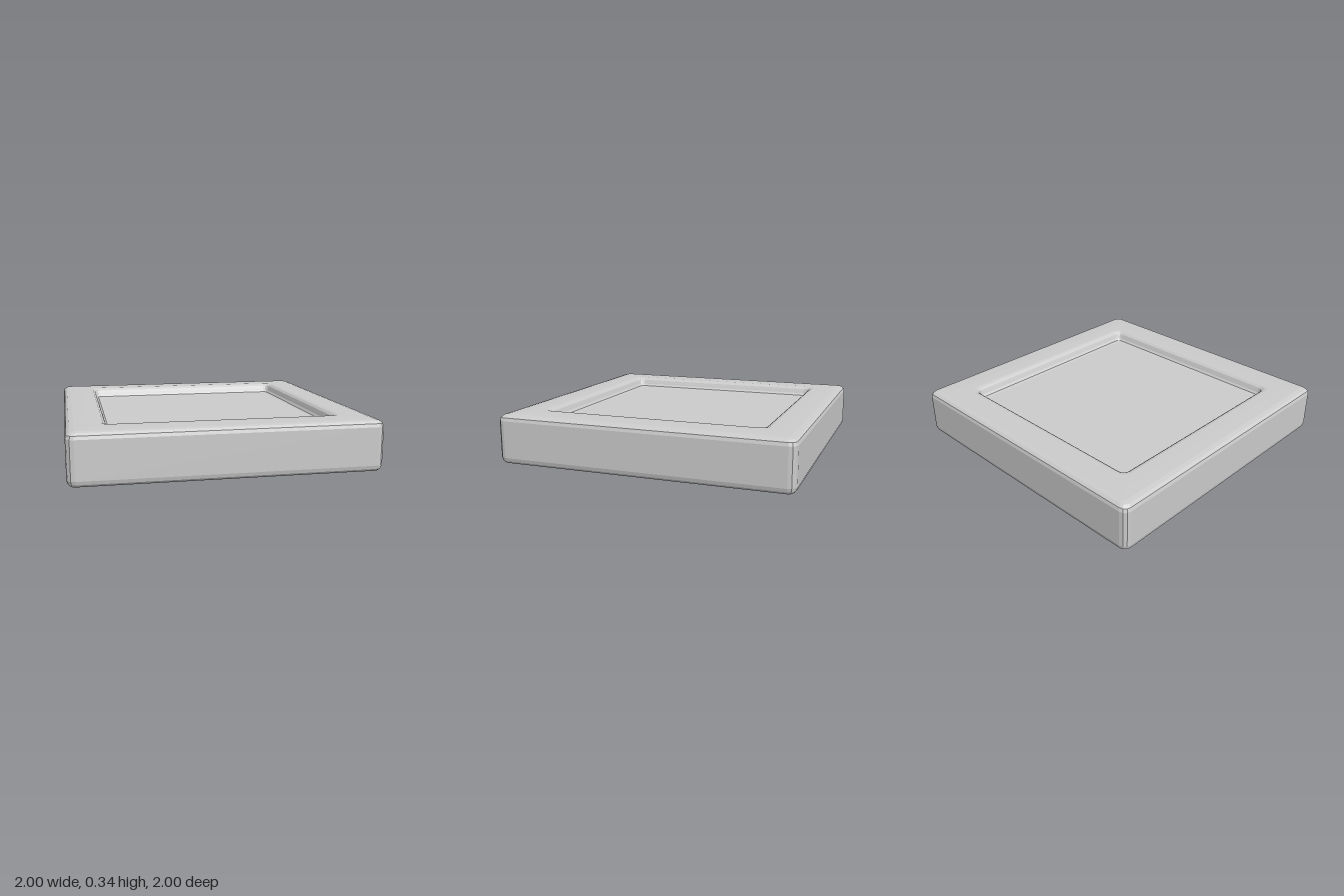
import * as THREE from 'three';

const CORNER_STEPS = 3;

// Rounded square outline at height y: half-width h, corner radius r
function ring(h, y, r) {
  const pts = [];
  for (let c = 0; c < 4; c++) {
    const mid = Math.PI / 4 + c * Math.PI / 2;
    const cx = Math.sign(Math.cos(mid)) * (h - r);
    const cz = Math.sign(Math.sin(mid)) * (h - r);
    for (let i = 0; i <= CORNER_STEPS; i++) {
      const a = (c + i / CORNER_STEPS) * Math.PI / 2;
      pts.push(cx + r * Math.cos(a), y, cz + r * Math.sin(a));
    }
  }
  return pts;
}

// Joins the outlines in order and closes both ends with a fan
function loftRings(profile) {
  const n = 4 * (CORNER_STEPS + 1);
  const positions = profile.flatMap(([h, y, r]) => ring(h, y, r));
  const last = profile.length - 1;
  const startCentre = profile.length * n, endCentre = startCentre + 1;
  positions.push(0, profile[0][1], 0, 0, profile[last][1], 0);
  const index = [];
  for (let j = 0; j < n; j++) {
    const k = (j + 1) % n;
    for (let i = 0; i < last; i++) {
      const a = i * n + j, b = i * n + k;
      index.push(a, a + n, b, b, a + n, b + n);
    }
    index.push(startCentre, j, k);
    index.push(endCentre, last * n + k, last * n + j);
  }
  const indexed = new THREE.BufferGeometry();
  indexed.setAttribute('position', new THREE.Float32BufferAttribute(positions, 3));
  indexed.setIndex(index);
  const geometry = indexed.toNonIndexed();
  geometry.computeVertexNormals();
  return geometry;
}

export function createModel() {
  const group = new THREE.Group();
  group.name = 'recessedTray';
  const material = new THREE.MeshStandardMaterial({ color: 0xcccccc, flatShading: true });

  // [half-width, height, corner radius] from the underside, over the rim, down to the floor
  const profile = [
    // bevelled lower edge
    [0.955, 0, 0.02], [0.978, 0.006, 0.035], [0.994, 0.022, 0.046], [1, 0.045, 0.05],
    // outer wall and rounded upper edge
    [1, 0.295, 0.05], [0.993, 0.317, 0.046], [0.975, 0.331, 0.035], [0.945, 0.337, 0.02],
    // flat rim
    [0.86, 0.34, 0.02], [0.785, 0.34, 0.06],
    // recess lip, wall and floor fillet
    [0.764, 0.335, 0.05], [0.748, 0.322, 0.042], [0.74, 0.303, 0.036],
    [0.735, 0.29, 0.032], [0.722, 0.275, 0.026], [0.7, 0.27, 0.018],
  ];
  const tray = new THREE.Mesh(loftRings(profile), material);
  tray.name = 'trayBody';
  group.add(tray);
  return group;
}
